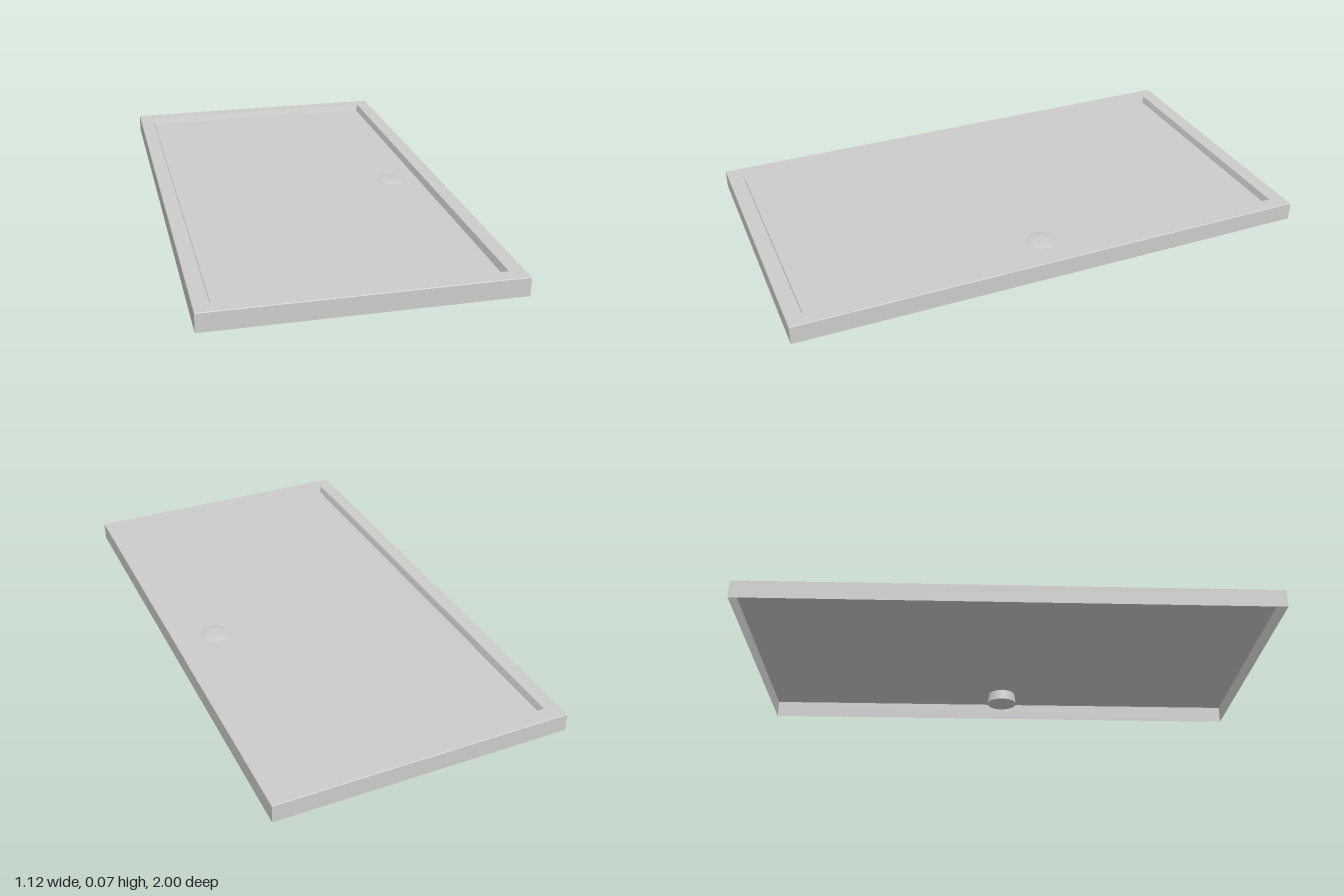
import * as THREE from 'three';

const enamel = new THREE.MeshStandardMaterial({ color: 0xcccccb, side: THREE.DoubleSide });
enamel.name = 'light grey enamel';

// Flat-shaded band joining rectangular rings given as [halfWidth, halfLength, y]
function rectLoft(rings) {
  const pos = [];
  const corners = ([w, l, y]) => [[w, y, l], [w, y, -l], [-w, y, -l], [-w, y, l]];
  for (let i = 0; i < rings.length - 1; i++) {
    const a = corners(rings[i]), b = corners(rings[i + 1]);
    for (let k = 0; k < 4; k++) {
      const n = (k + 1) % 4;
      pos.push(...a[k], ...a[n], ...b[n], ...a[k], ...b[n], ...b[k]);
    }
  }
  const geo = new THREE.BufferGeometry();
  geo.setAttribute('position', new THREE.Float32BufferAttribute(pos, 3));
  geo.computeVertexNormals();
  return geo;
}

export function createModel() {
  const model = new THREE.Group();
  model.name = 'showerTray';
  const add = (name, geo, x = 0, y = 0, z = 0) => {
    const mesh = new THREE.Mesh(geo, enamel);
    mesh.name = name;
    mesh.position.set(x, y, z);
    model.add(mesh);
  };
  const floorY = 0.045, drainX = 0.385;

  // Thin shell, open underneath: skirt, rim and sloping inner wall
  add('skirtAndRim', rectLoft([
    [0.56, 1, 0], [0.56, 1, 0.068], [0.558, 0.998, 0.07],
    [0.503, 0.941, 0.07], [0.495, 0.933, floorY],
  ]));

  // Recessed floor
  add('floor', new THREE.PlaneGeometry(0.99, 1.866).rotateX(-Math.PI / 2), 0, floorY, 0);

  // Shallow domed drain cover
  const dome = [[0.055, 0], [0.054, 0.003], [0.04, 0.005], [0.02, 0.0065], [0, 0.007]];
  add('drainCover', new THREE.LatheGeometry(dome.map(p => new THREE.Vector2(...p)), 32),
    drainX, floorY, 0);

  // Outlet beneath the floor
  add('drainOutlet', new THREE.CylinderGeometry(0.056, 0.062, floorY - 0.002, 32),
    drainX, floorY / 2 - 0.001, 0);

  return model;
}
